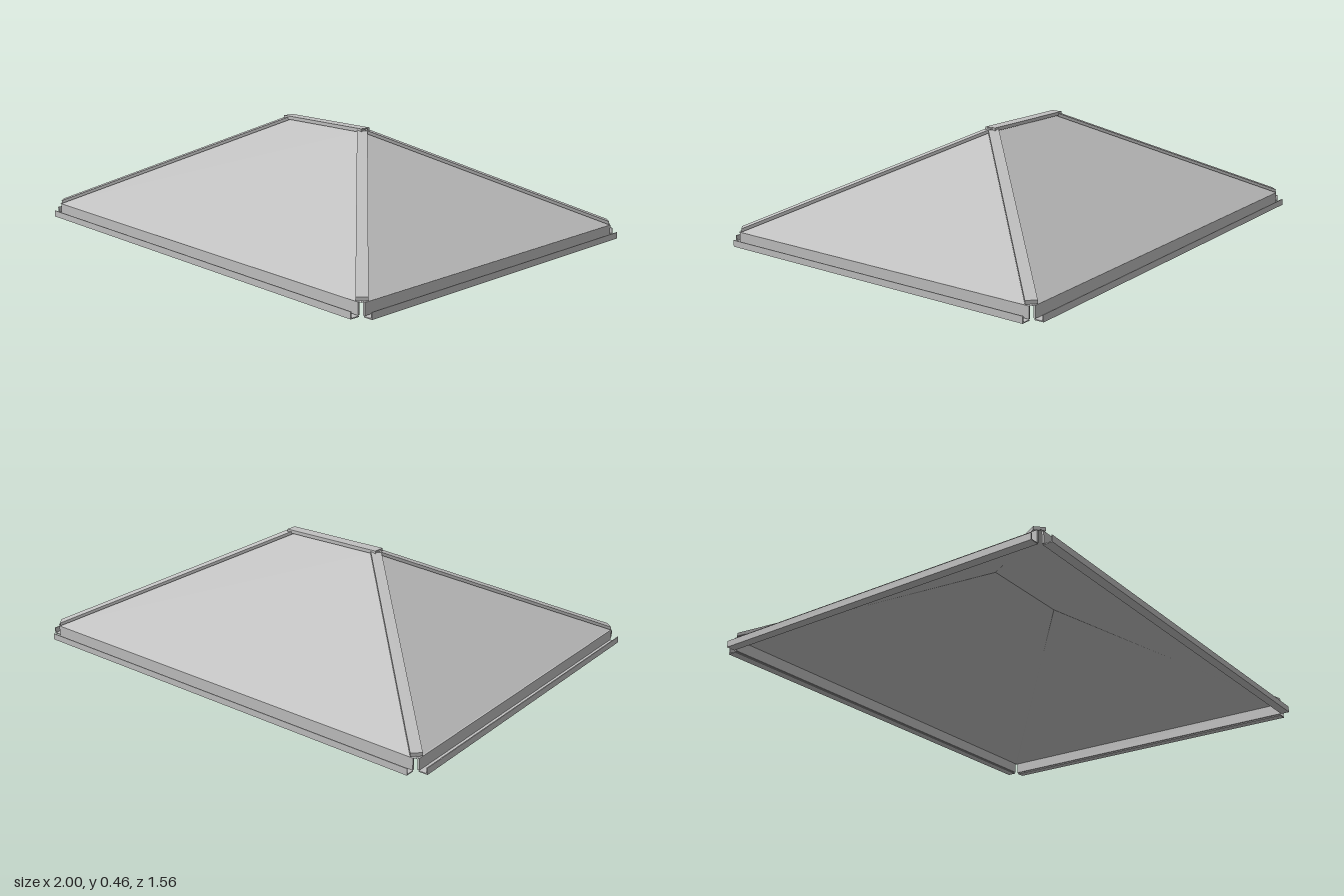
import * as THREE from 'three';

const EAVE_X = 0.96, EAVE_Z = 0.745, EAVE_Y = 0.053, RIDGE_X = 0.222, RIDGE_Y = 0.446;

// Flat-faced geometry from triangles or quads given as corner points
function facets(faces) {
  const pos = [];
  for (const f of faces)
    for (let i = 1; i < f.length - 1; i++) pos.push(...f[0], ...f[i], ...f[i + 1]);
  const g = new THREE.BufferGeometry();
  g.setAttribute('position', new THREE.Float32BufferAttribute(pos, 3));
  g.computeVertexNormals();
  return g;
}

// Capping strip with plumb-cut ends, resting on the line from a to b
function capGeometry(a, b, width, height) {
  const d = new THREE.Vector3(b[0] - a[0], 0, b[2] - a[2]).normalize();
  const sx = -d.z * width / 2, sz = d.x * width / 2;
  const ring = ([x, y, z]) => [
    [x - sx, y, z - sz], [x + sx, y, z + sz],
    [x + sx, y + height, z + sz], [x - sx, y + height, z - sz],
  ];
  const p = ring(a), q = ring(b);
  const faces = [[p[0], p[3], p[2], p[1]], [q[0], q[1], q[2], q[3]]];
  for (let i = 0; i < 4; i++) {
    const j = (i + 1) % 4;
    faces.push([p[i], p[j], q[j], q[i]]);
  }
  return facets(faces);
}

export function createModel() {
  const model = new THREE.Group();
  model.name = 'hipRoof';
  const metal = new THREE.MeshStandardMaterial({ color: 0xc0c0c0, side: THREE.DoubleSide });
  metal.name = 'light grey metal';

  const add = (geometry, name, parent = model) => {
    const mesh = new THREE.Mesh(geometry, metal);
    mesh.name = name;
    parent.add(mesh);
    return mesh;
  };

  // Four roof slopes, open underneath
  for (const s of [1, -1]) {
    const ridgeA = [-s * RIDGE_X, RIDGE_Y, 0], ridgeB = [s * RIDGE_X, RIDGE_Y, 0];
    const a = [-s * EAVE_X, EAVE_Y, s * EAVE_Z], b = [s * EAVE_X, EAVE_Y, s * EAVE_Z];
    const c = [s * EAVE_X, EAVE_Y, -s * EAVE_Z];
    add(facets([[a, b, ridgeB, ridgeA]]), s > 0 ? 'frontSlope' : 'backSlope');
    add(facets([[b, c, ridgeB]]), s > 0 ? 'leftSlope' : 'rightSlope');
  }

  // Ridge cap and the four hip caps
  add(capGeometry([-0.24, RIDGE_Y, 0], [0.24, RIDGE_Y, 0], 0.05, 0.015), 'ridgeCap');
  for (const sx of [1, -1])
    for (const sz of [1, -1])
      add(capGeometry([sx * RIDGE_X, RIDGE_Y, 0],
        [sx * 0.953, EAVE_Y + 0.003, sz * 0.735], 0.044, 0.014), 'hipCap');

  // Eave gutters: fascia, trough floor and outer lip, running along local x
  const gutter = (length, edge, angle, name) => {
    const g = new THREE.Group();
    g.name = name;
    const strip = (y0, y1, z0, z1, part) =>
      add(new THREE.BoxGeometry(length, y1 - y0, z1 - z0), part, g)
        .position.set(0, (y0 + y1) / 2, (z0 + z1) / 2);
    strip(0.006, EAVE_Y, edge - 0.042, edge - 0.034, 'fascia');
    strip(0, 0.004, edge - 0.038, edge, 'gutterFloor');
    strip(0.004, 0.027, edge - 0.004, edge, 'gutterLip');
    g.rotation.y = angle;
    model.add(g);
  };
  gutter(1.895, 0.782, 0, 'frontGutter');
  gutter(1.895, 0.782, Math.PI, 'backGutter');
  gutter(1.468, 1, Math.PI / 2, 'leftGutter');
  gutter(1.468, 1, -Math.PI / 2, 'rightGutter');

  return model;
}
